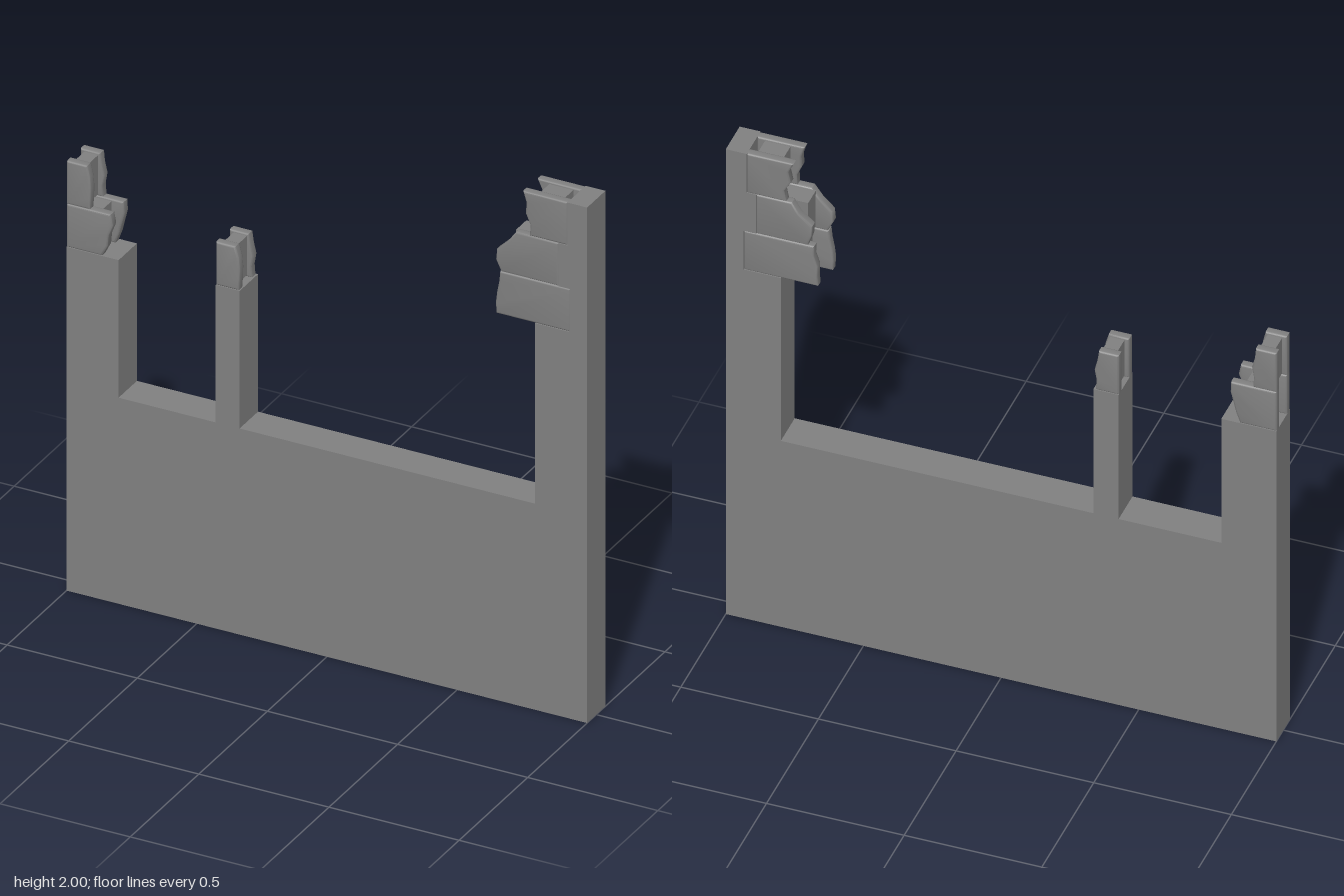
import * as THREE from 'three';
import { mergeVertices, toCreasedNormals } from 'three/addons/utils/BufferGeometryUtils.js';

const HALF = 0.067;   // half the wall thickness
const LEAF = 0.034;   // thickness of a facing stone
const BEVEL = 0.007;
const COURSE = 0.1667; // height of a stone course

// whole: x of the straight end; ends: x of the broken end at even heights;
// inset: how much shorter the back stone is
const leftStones = [
  { name: 'leftPierLowerStone', row: 8, whole: -1, inset: 0.002, ends: [-0.865, -0.844, -0.84, -0.824, -0.832] },
  { name: 'leftPierUpperStone', row: 9, whole: -1, inset: 0.002, ends: [-0.912, -0.909, -0.908, -0.912, -0.922] },
  { name: 'mullionStone', row: 8, whole: -0.427, inset: 0.002, ends: [-0.34, -0.337, -0.336, -0.34, -0.352] },
];
const rightStones = [
  { name: 'rightPierLowerStone', row: 9, whole: 0.935, inset: 0.016, ends: [0.65, 0.647, 0.652, 0.66, 0.664] },
  { name: 'rightPierMiddleStone', row: 10, whole: 0.89, inset: 0.035, ends: [0.668, 0.648, 0.652, 0.695, 0.725] },
  { name: 'rightPierUpperStone', row: 11, whole: 0.924, inset: 0.003, ends: [0.778, 0.78, 0.762, 0.765, 0.752] },
];

const outline = (points) => new THREE.Shape(points.map(([x, y]) => new THREE.Vector2(x, y)));

// rounded slab of stone whose outer face is flush with the wall
function stoneGeometry({ row, whole, ends, inset }, side) {
  const y = row * COURSE;
  const toWhole = Math.sign(whole - ends[0]);
  const broken = ends.map((x, i) => [
    side > 0 ? x : x + toWhole * (inset + 0.006 * (i % 2)),
    y + COURSE * i / (ends.length - 1),
  ]);
  let geo = new THREE.ExtrudeGeometry(outline([[whole, y], ...broken, [whole, y + COURSE]]), {
    depth: LEAF - 2 * BEVEL, bevelEnabled: true, bevelThickness: BEVEL,
    bevelSize: BEVEL, bevelOffset: -BEVEL, bevelSegments: 3,
  });
  geo.translate(0, 0, side > 0 ? HALF - LEAF + BEVEL : -HALF + BEVEL);
  geo.deleteAttribute('uv');
  geo.deleteAttribute('normal');
  geo = mergeVertices(geo, 1e-5);
  return toCreasedNormals(geo, 0.75);
}

// recessed mortar core between the two facing stones of a course
function coreGeometry({ row, whole, ends }) {
  const end = ends[2];
  const a = whole + (end - whole) * 0.18;
  const b = end + (whole - end) * 0.25;
  const geo = new THREE.BoxGeometry(Math.abs(b - a), COURSE - 0.015, 2 * (HALF - LEAF) + 0.01);
  return geo.translate((a + b) / 2, (row + 0.5) * COURSE, 0);
}

export function createModel() {
  const group = new THREE.Group();
  group.name = 'ruinedWindowWall';
  const grey = new THREE.MeshStandardMaterial({ color: 0x808080 });
  grey.name = 'stoneGrey';

  const add = (name, geometry) => {
    const mesh = new THREE.Mesh(geometry, grey);
    mesh.name = name;
    group.add(mesh);
  };

  // wall with sill, piers and mullion; the right pier is toothed to fit its stones
  const post = 8 * COURSE;
  const teeth = [...rightStones].reverse().flatMap(({ row, whole }) => [
    [whole, (row + 1) * COURSE], [whole, row * COURSE],
  ]);
  const wall = new THREE.ExtrudeGeometry(outline([
    [-1, 0], [1, 0], [1, 12 * COURSE], ...teeth, [0.8, 9 * COURSE], [0.8, 0.8],
    [-0.335, 0.8], [-0.335, post], [-0.427, post], [-0.427, 0.8],
    [-0.8, 0.8], [-0.8, post], [-1, post],
  ]), { depth: 2 * HALF, bevelEnabled: false });
  wall.translate(0, 0, -HALF);
  add('wall', wall);

  // broken courses: front stone, back stone and core
  for (const stone of [...leftStones, ...rightStones]) {
    add(stone.name + 'Front', stoneGeometry(stone, 1));
    add(stone.name + 'Back', stoneGeometry(stone, -1));
    add(stone.name + 'Core', coreGeometry(stone));
  }
  return group;
}
